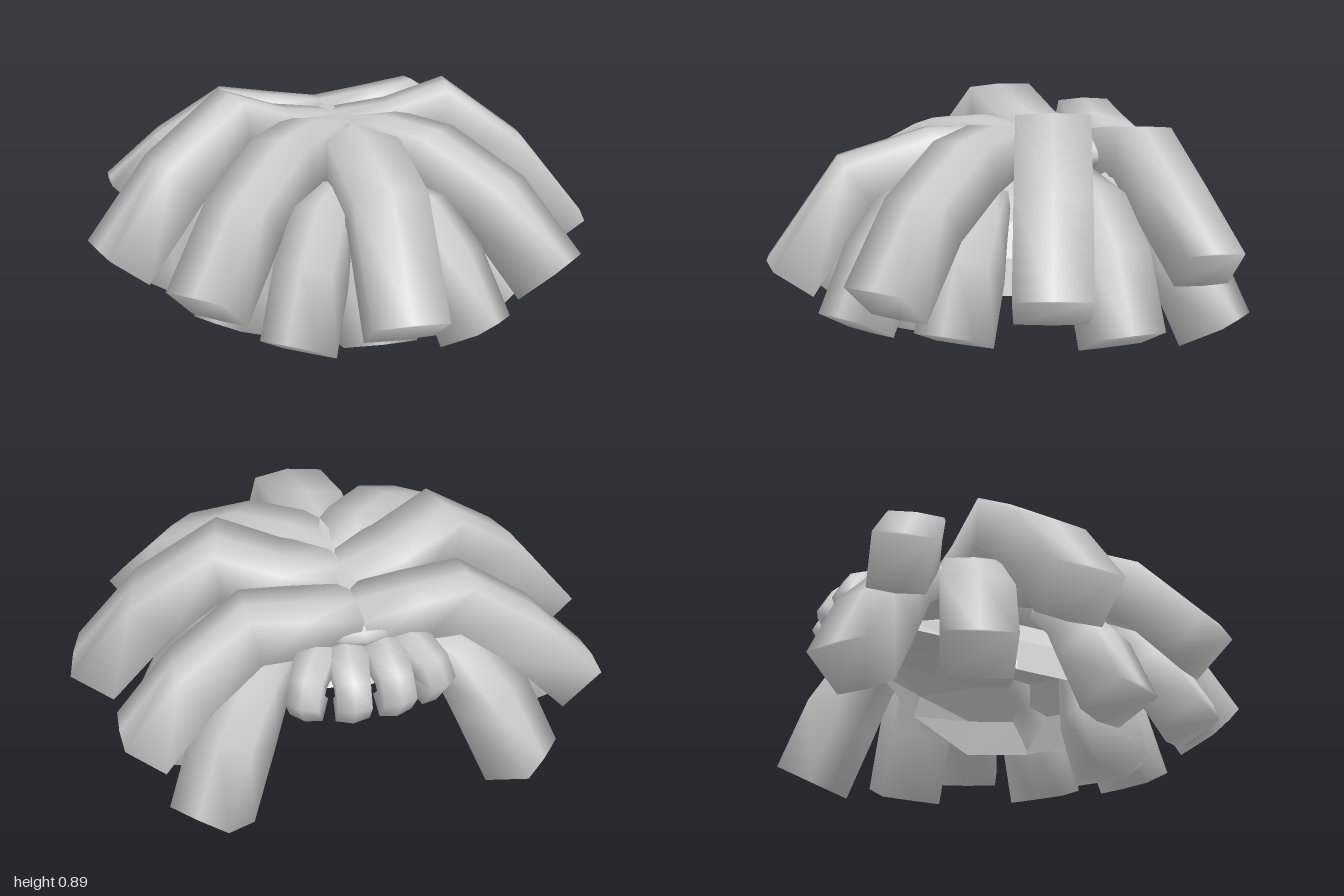
import * as THREE from 'three';

const { lerp, smoothstep } = THREE.MathUtils;
const material = new THREE.MeshStandardMaterial({ color: 0xcccccc });
const shellMaterial = new THREE.MeshStandardMaterial({ color: 0xcccccc, flatShading: true, side: THREE.DoubleSide });

// Thick lock: a box-like section swept along the centre line of its upper face.
// heading is the horizontal direction [x, z] the lock points in.
function lockGeometry(pts, heading, widths, depths, crown) {
  const side = new THREE.Vector3(heading[1], 0, -heading[0]).normalize();
  const last = pts.length - 1;
  const direction = (i) => pts[i + 1].clone().sub(pts[i]).normalize();
  const rings = pts.map((p, i) => {
    const t = direction(Math.max(i - 1, 0)).add(direction(Math.min(i, last - 1))).normalize();
    const n = t.cross(side).normalize();
    const f = Math.min(1, (2 * i) / last);
    const w = lerp(widths[0], widths[1], f) / 2;
    const d = lerp(depths[0], depths[1], f);
    const section = [[w, -crown], [0, 0], [-w, -crown], [-w * 0.95, -d], [0, -d - crown], [w * 0.95, -d]];
    return section.map(([a, b]) => p.clone().addScaledVector(side, a).addScaledVector(n, b));
  });
  const positions = rings.flat().flatMap((v) => v.toArray());
  const index = [], k = 6, end = last * k;
  for (let i = 0; i < last; i++) {
    for (let j = 0; j < k; j++) {
      const a = i * k + j, b = i * k + (j + 1) % k;
      index.push(a, b, a + k, b, b + k, a + k);
    }
  }
  // Ends share the section's vertices, so the shading rolls over them softly
  for (let j = 1; j < k - 1; j++) index.push(0, j + 1, j, end, end + j, end + j + 1);
  const geometry = new THREE.BufferGeometry();
  geometry.setAttribute('position', new THREE.Float32BufferAttribute(positions, 3));
  geometry.setIndex(index);
  geometry.computeVertexNormals();
  return geometry;
}

// Path over a straight or bowed ground line, from heights at the given fractions
function arch(root, tip, fractions, heights, bow = 1) {
  return fractions.map((f, i) => new THREE.Vector3(
    lerp(root[0], tip[0], f), heights[i], lerp(root[1], tip[1], f ** bow)));
}

function addLock(group, name, path, heading, width, depth, crown) {
  const mesh = new THREE.Mesh(lockGeometry(path, heading, width, depth, crown), material);
  mesh.name = name;
  group.add(mesh);
}

// A left lock and its mirror image on the right
function addPair(group, name, path, heading, width, depth, crown = 0.008) {
  addLock(group, 'left' + name, path, heading, width, depth, crown);
  const mirrored = path.map((p) => new THREE.Vector3(-p.x, p.y, p.z));
  addLock(group, 'right' + name, mirrored, [-heading[0], heading[1]], width, depth, crown);
}

// Open inner cap with a rim that rises toward the back
function innerCap() {
  const geometry = new THREE.SphereGeometry(1, 12, 4, 0, Math.PI * 2, 0, Math.PI / 2);
  const p = geometry.attributes.position;
  for (let i = 0; i < p.count; i++) {
    const z = p.getZ(i) * 0.47 - 0.11;
    const rim = 0.22 + 0.24 * smoothstep(-z, 0.1, 0.58);
    p.setXYZ(i, p.getX(i) * 0.43, rim + (0.57 - rim) * p.getY(i), z);
  }
  geometry.computeVertexNormals();
  const mesh = new THREE.Mesh(geometry, shellMaterial);
  mesh.name = 'innerCap';
  return mesh;
}

// Smooth patch that joins the roots of the upper locks
function crownPatch() {
  const mesh = new THREE.Mesh(new THREE.SphereGeometry(1, 20, 10), material);
  mesh.name = 'crownPatch';
  mesh.scale.set(0.25, 0.085, 0.4);
  mesh.position.set(0, 0.69, -0.22);
  return mesh;
}

function addUpperLayer(group) {
  const steps = [0, 0.23, 0.46, 0.76, 1], depth = [0.14, 0.2];
  addLock(group, 'frontCentreLock',
    arch([0, -0.3], [0, 0.865], steps, [0.76, 0.79, 0.79, 0.69, 0.3]), [0, 1], [0.24, 0.275], depth, 0.02);
  addPair(group, 'FrontLock',
    arch([-0.03, -0.16], [0.695, 0.555], steps, [0.77, 0.81, 0.78, 0.62, 0.35]), [0.7, 0.7], [0.24, 0.25], depth);
  addPair(group, 'SideLock',
    arch([-0.03, -0.255], [0.975, 0], steps, [0.77, 0.81, 0.895, 0.67, 0.36]), [0.97, 0.22], [0.24, 0.27], depth);
  addPair(group, 'BackLock',
    arch([0, -0.475], [0.87, -0.6], steps, [0.77, 0.8, 0.83, 0.66, 0.46], 3), [1, 0], [0.235, 0.21], depth);
}

function addLowerLayer(group) {
  const steps = [0, 0.4, 0.73, 1], depth = [0.09, 0.2];
  addPair(group, 'LowerSideLock',
    arch([0.3, -0.26], [0.81, -0.33], steps, [0.67, 0.61, 0.44, 0.17]), [0.99, -0.16], [0.14, 0.26], depth);
  addPair(group, 'LowerBackLock',
    arch([0.25, -0.42], [0.645, -0.78], steps, [0.65, 0.59, 0.41, 0.15]), [0.7, -0.7], [0.18, 0.25], depth);
  addPair(group, 'LowerFrontLock',
    arch([0.1, 0.22], [0.39, 0.64], steps, [0.63, 0.59, 0.42, 0.175]), [0.64, 0.77], [0.16, 0.23], depth, 0.02);
  addPair(group, 'LowerCornerLock',
    arch([0.25, 0.05], [0.585, 0.295], steps, [0.6, 0.54, 0.39, 0.14]), [0.8, 0.6], [0.14, 0.24], depth, 0.015);
  addLock(group, 'lowerCentreLock',
    arch([0, 0.25], [0, 0.485], steps, [0.58, 0.5, 0.32, 0.07]), [0, 1], [0.18, 0.28], [0.1, 0.23], 0.02);
}

// Short curls along the back, fanned outward
function addBackCurls(group) {
  const curl = [[-0.08, 0.68], [0.05, 0.68], [0.15, 0.63], [0.2, 0.54], [0.15, 0.45]];
  for (const [name, x, z, angle] of [['InnerBackCurl', 0.065, -0.6, 0.09], ['OuterBackCurl', 0.16, -0.57, 0.55]]) {
    const dx = Math.sin(angle), dz = -Math.cos(angle);
    const path = curl.map(([r, y]) => new THREE.Vector3(x + r * dx, y, z + r * dz));
    addPair(group, name, path, [dx, dz], [0.15, 0.12], [0.12, 0.1], 0.015);
  }
}

export function createModel() {
  const group = new THREE.Group();
  group.name = 'layeredLocks';
  group.add(innerCap(), crownPatch());
  addUpperLayer(group);
  addLowerLayer(group);
  addBackCurls(group);
  return group;
}
